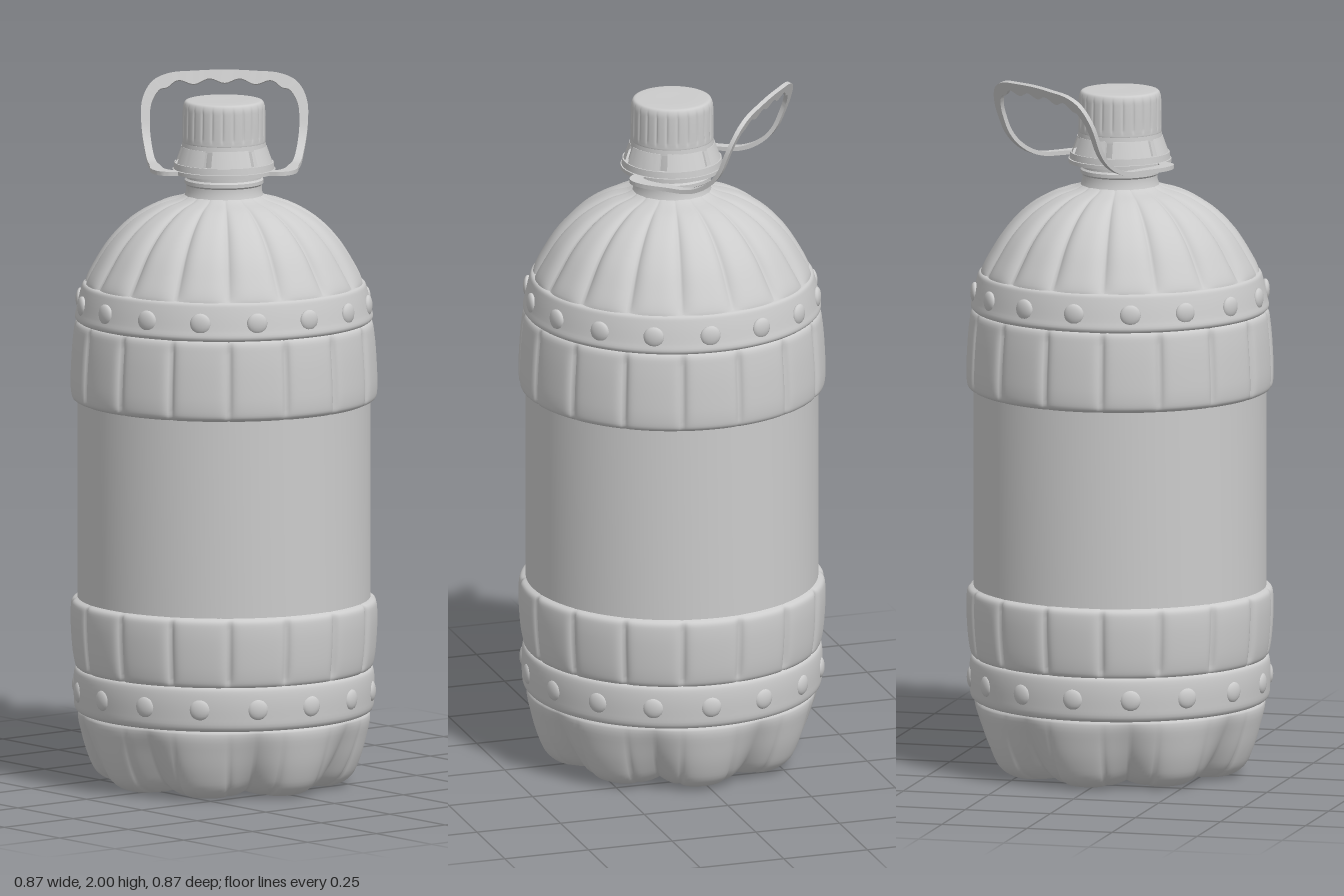
import * as THREE from 'three';
import { toCreasedNormals } from 'three/addons/utils/BufferGeometryUtils.js';

const material = new THREE.MeshStandardMaterial({ color: 0xcccccc, side: THREE.DoubleSide });
const FLUTES = 16;
const STEP = (Math.PI * 2) / FLUTES;
const BUMP_ANGLE = -0.055; // middle of the front flute

function mesh(name, geometry, parent) {
  const m = new THREE.Mesh(geometry, material);
  m.name = name;
  parent.add(m);
  return m;
}

// Round skin from a profile of [radius, y, groove depth], listed from the top down.
// weight(angle) says how much of the depth is cut away; lift raises the cut parts.
function skin(profile, weight, { rows = 4, segs = 320, lift = 0 } = {}) {
  const curve = new THREE.CatmullRomCurve3(
    profile.map(([r, y, d]) => new THREE.Vector3(r, y, d)), false, 'centripetal');
  const samples = curve.getPoints(rows * (profile.length - 1));
  const position = [], index = [];
  samples.forEach((p, i) => {
    for (let j = 0; j < segs; j++) {
      const a = (j / segs) * Math.PI * 2;
      const cut = p.z * weight(a);
      const r = Math.max(p.x - cut, 0);
      position.push(r * Math.sin(a + BUMP_ANGLE), p.y + cut * lift, r * Math.cos(a + BUMP_ANGLE));
      if (i === samples.length - 1) continue;
      const k = (j + 1) % segs;
      const t = i * segs, b = t + segs;
      index.push(t + j, b + j, t + k, t + k, b + j, b + k);
    }
  });
  const g = new THREE.BufferGeometry();
  g.setAttribute('position', new THREE.Float32BufferAttribute(position, 3));
  g.setIndex(index);
  g.computeVertexNormals();
  return g;
}

// Pillow-shaped flutes: 0 in the middle of a flute, 1 in the sharp crease between two
const pillow = (power, count = FLUTES) => (a) => {
  const p = (a * count) / (Math.PI * 2) + 0.5;
  return Math.pow(Math.abs(2 * (p - Math.floor(p)) - 1), power);
};

// Eight broad feet with a faint crease at every flute
const feet = (a) => 0.85 * pillow(2.2, 8)(a) + 0.15 * pillow(8)(a);

const lathe = (points, segs = 64, start = 0, length = Math.PI * 2) => toCreasedNormals(
  new THREE.LatheGeometry(points.map(([r, y]) => new THREE.Vector2(r, y)), segs, start, length), 0.6);

function addBand(name, profile, bumpRadius, bumpY, parent) {
  const band = new THREE.Group();
  band.name = name;
  parent.add(band);
  mesh(name + 'Surface', skin(profile, () => 0, { segs: 96 }), band);
  const dot = new THREE.SphereGeometry(0.03, 16, 10);
  for (let i = 0; i < FLUTES; i++) {
    const a = BUMP_ANGLE + i * STEP;
    const b = mesh('roundBump', dot, band);
    b.position.set(bumpRadius * Math.sin(a), bumpY, bumpRadius * Math.cos(a));
    b.rotation.y = a;
    b.scale.z = 0.42;
  }
}

function addBody(parent) {
  mesh('shoulderDome', skin([
    [0.105, 1.69, 0], [0.13, 1.678, 0.006], [0.19, 1.66, 0.015], [0.265, 1.617, 0.02],
    [0.327, 1.555, 0.02], [0.372, 1.485, 0.018], [0.392, 1.445, 0.012], [0.396, 1.425, 0],
  ], pillow(3.5)), parent);
  addBand('upperBand', [
    [0.385, 1.437, 0], [0.399, 1.433, 0], [0.406, 1.415, 0], [0.418, 1.36, 0],
    [0.422, 1.335, 0], [0.405, 1.322, 0],
  ], 0.413, 1.378, parent);
  mesh('upperPanels', skin([
    [0.405, 1.333, 0], [0.42, 1.323, 0.006], [0.427, 1.29, 0.014], [0.434, 1.2, 0.015],
    [0.435, 1.13, 0.013], [0.43, 1.107, 0.008], [0.412, 1.097, 0],
  ], pillow(9)), parent);
  mesh('labelWrap', lathe([[0.415, 0.525], [0.415, 1.105]], 96), parent);
  mesh('lowerPanels', skin([
    [0.412, 0.535, 0], [0.43, 0.525, 0.008], [0.435, 0.5, 0.013], [0.434, 0.43, 0.015],
    [0.427, 0.36, 0.014], [0.42, 0.338, 0.006], [0.405, 0.328, 0],
  ], pillow(9)), parent);
  addBand('lowerBand', [
    [0.405, 0.337, 0], [0.42, 0.332, 0], [0.426, 0.31, 0], [0.426, 0.25, 0],
    [0.421, 0.215, 0], [0.40, 0.204, 0],
  ], 0.423, 0.272, parent);
  mesh('footedBase', skin([
    [0.405, 0.212, 0], [0.415, 0.198, 0.006], [0.406, 0.14, 0.022], [0.388, 0.075, 0.042],
    [0.365, 0.028, 0.06], [0.33, 0.005, 0.068], [0.28, 0, 0.06], [0.22, 0.014, 0.03],
    [0.13, 0.034, 0.008], [0.085, 0.042, 0], [0.065, 0.06, 0], [0, 0.068, 0],
  ], feet, { lift: 0.25 }), parent);
}

function addNeckAndCap(parent) {
  mesh('neck', lathe([
    [0.13, 1.675], [0.112, 1.685], [0.107, 1.7], [0.107, 1.715], [0.112, 1.72], [0.112, 1.73],
    [0.107, 1.735], [0.107, 1.84],
  ]), parent);
  // Slotted skirt: six curved plates held between two hoops
  const skirt = new THREE.Group();
  skirt.name = 'slottedSkirt';
  parent.add(skirt);
  mesh('lowerHoop', lathe([
    [0.112, 1.762], [0.143, 1.762], [0.141, 1.78], [0.131, 1.78], [0.112, 1.762],
  ]), skirt);
  mesh('upperHoop', lathe([
    [0.105, 1.822], [0.12, 1.822], [0.118, 1.838], [0.105, 1.838],
  ]), skirt);
  for (let i = 0; i < 6; i++) {
    mesh('skirtPlate', lathe([
      [0.123, 1.775], [0.139, 1.775], [0.121, 1.826], [0.109, 1.826], [0.123, 1.775],
    ], 12, i * Math.PI / 3 + 0.1, Math.PI / 3 - 0.17), skirt);
  }
  // Screw cap with fine grip grooves
  mesh('screwCap', skin([
    [0, 1.957, 0], [0.1, 1.957, 0], [0.11, 1.954, 0], [0.115, 1.944, 0.001],
    [0.117, 1.93, 0.003], [0.118, 1.86, 0.003], [0.118, 1.845, 0], [0.117, 1.836, 0],
    [0.1, 1.835, 0],
  ], pillow(5, 24), { rows: 3, segs: 288 }), parent);
}

function addHandle(parent) {
  const handle = new THREE.Group();
  handle.name = 'carryHandle';
  parent.add(handle);
  mesh('handleRing', lathe([
    [0.108, 1.75], [0.146, 1.75], [0.146, 1.761], [0.108, 1.761], [0.108, 1.75],
  ]), handle);

  // Strap centre line as (side, distance along strap, half width), mirrored
  const half = [
    [0.125, -0.05, 0.016], [0.165, -0.045, 0.02], [0.187, -0.01, 0.019], [0.198, 0.07, 0.014],
    [0.212, 0.17, 0.011], [0.224, 0.28, 0.012], [0.22, 0.345, 0.014], [0.195, 0.39, 0.016],
    [0.155, 0.41, 0.016], [0.08, 0.417, 0.016],
  ];
  const points = [
    ...half, [0, 0.42, 0.016], ...half.slice().reverse().map(([u, s, w]) => [-u, s, w]),
  ].map((p) => new THREE.Vector3(...p));
  const path = new THREE.CatmullRomCurve3(points, false, 'centripetal');

  // Flat near the ring, then curving up to a steep grip
  const slope = 1.2, bend = 0.1, soft = 0.18;
  const place = (u, s, n) => {
    let v = Math.min(s, bend), y = 1.755, a = 0;
    for (let i = 0, ds = Math.max(s - bend, 0) / 24; i < 24; i++) {
      a = slope * Math.min(((i + 0.5) * ds) / soft, 1);
      v += Math.cos(a) * ds;
      y += Math.sin(a) * ds;
    }
    return [u, y + n * Math.cos(a), v - n * Math.sin(a)];
  };

  const N = 160, position = [], index = [];
  for (let i = 0; i <= N; i++) {
    const c = path.getPoint(i / N), t = path.getTangent(i / N);
    const len = Math.hypot(t.x, t.y);
    const nx = t.y / len, ny = -t.x / len; // points to the outside of the loop
    // Finger scallops along the grip
    const grip = THREE.MathUtils.smoothstep(c.y, 0.385, 0.41);
    const inner = c.z + grip * 0.007 * Math.cos((c.x * Math.PI * 2) / 0.088);
    for (const [w, n] of [[c.z, 0.006], [-inner, 0.006], [-inner, -0.006], [c.z, -0.006]]) {
      position.push(...place(c.x + nx * w, c.y + ny * w, n));
    }
    if (i === N) break;
    for (let k = 0; k < 4; k++) {
      const a = i * 4 + k, b = i * 4 + ((k + 1) % 4);
      index.push(a, a + 4, b, b, a + 4, b + 4);
    }
  }
  const e = N * 4;
  index.push(0, 1, 2, 0, 2, 3, e, e + 2, e + 1, e, e + 3, e + 2);
  const g = new THREE.BufferGeometry();
  g.setAttribute('position', new THREE.Float32BufferAttribute(position, 3));
  g.setIndex(index);
  const strap = mesh('handleStrap', toCreasedNormals(g, 0.7), handle);
  strap.rotation.y = Math.atan2(0.632, -0.775); // leans to the back left
}

export function createModel() {
  const model = new THREE.Group();
  model.name = 'bottle';
  addBody(model);
  addNeckAndCap(model);
  addHandle(model);
  return model;
}
